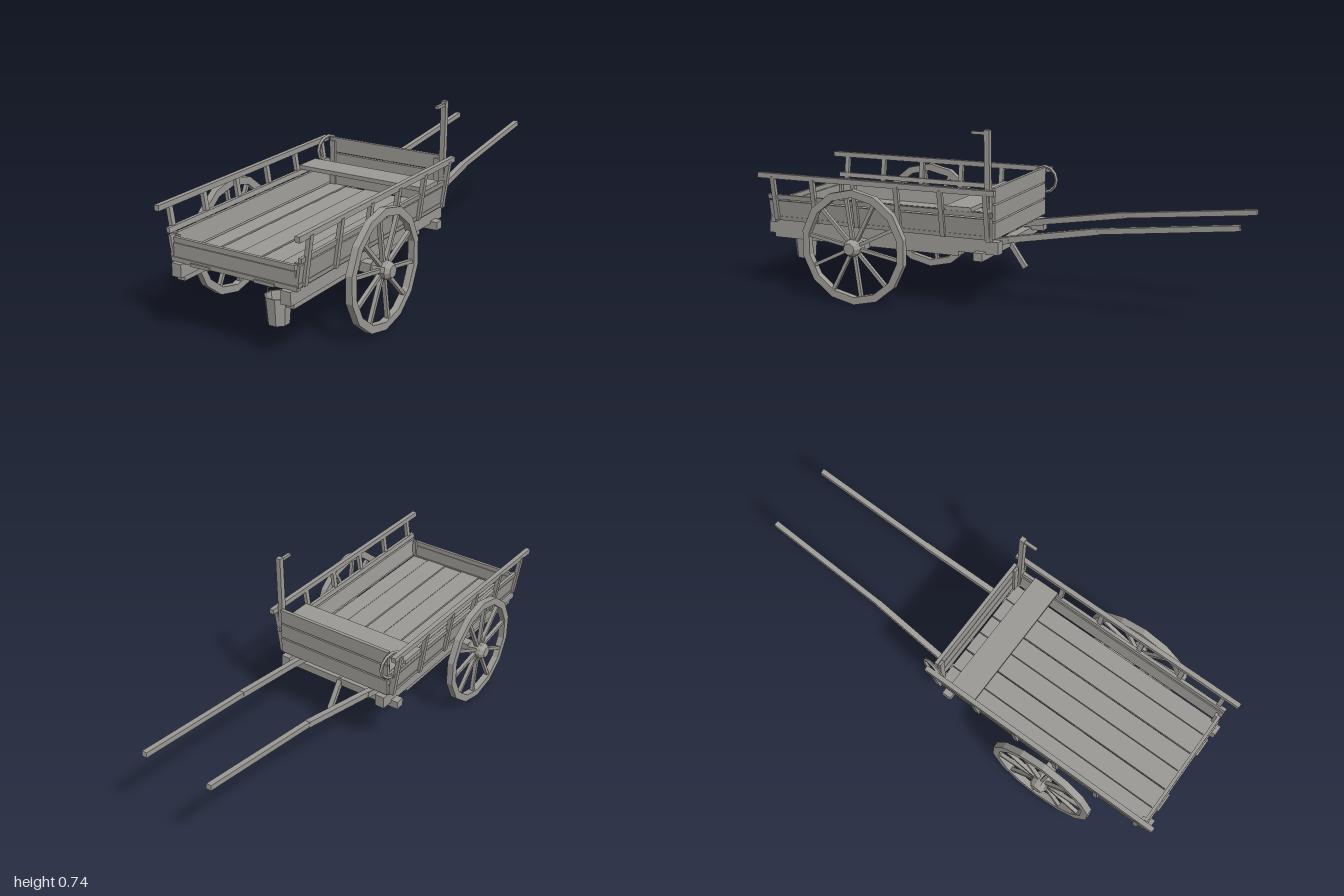
import * as THREE from 'three';

const wood = new THREE.MeshStandardMaterial({ color: 0x9c9a95, flatShading: true });
wood.name = 'weathered wood';

export function createModel() {
  const cart = new THREE.Group();
  cart.name = 'handCart';

  const add = (name, geometry, parent = cart) => {
    const mesh = new THREE.Mesh(geometry, wood);
    mesh.name = name;
    parent.add(mesh);
    return mesh;
  };
  // box given by its limits on each axis
  const box = (name, x0, x1, y0, y1, z0, z1, parent = cart) => {
    const mesh = add(name, new THREE.BoxGeometry(x1 - x0, y1 - y0, z1 - z0), parent);
    mesh.position.set((x0 + x1) / 2, (y0 + y1) / 2, (z0 + z1) / 2);
    return mesh;
  };
  // square bar between two points
  const bar = (name, a, b, w, h, parent = cart) => {
    const from = new THREE.Vector3(...a), to = new THREE.Vector3(...b);
    const mesh = add(name, new THREE.BoxGeometry(w, h, from.distanceTo(to)), parent);
    mesh.position.copy(from).add(to).multiplyScalar(0.5);
    mesh.lookAt(to);
    return mesh;
  };
  // outward-leaning side plank, extruded along z
  const lean = (y) => 0.267 + (y - 0.3) * 0.15;
  const sidePlank = (name, s, y0, y1, z0, z1, offset, thick) => {
    const shape = new THREE.Shape([
      [lean(y0) + offset, y0], [lean(y0) + offset + thick, y0],
      [lean(y1) + offset + thick, y1], [lean(y1) + offset, y1],
    ].map(([x, y]) => new THREE.Vector2(s * x, y)));
    const mesh = add(name, new THREE.ExtrudeGeometry(shape, { depth: z1 - z0, bevelEnabled: false }));
    mesh.position.z = z0;
  };

  // floor planks
  const seams = [-0.265, -0.185, -0.094, 0, 0.089, 0.185, 0.265];
  for (let i = 0; i < 6; i++) {
    const dy = i % 2 ? 0 : 0.003;
    box('floorPlank', seams[i] + 0.002, seams[i + 1] - 0.002, 0.292 + dy, 0.307 + dy, -0.045, 0.965);
  }

  // undercarriage
  box('frontSill', -0.275, 0.275, 0.294, 0.312, 0.945, 0.968);
  box('rearCrossbar', -0.29, 0.29, 0.22, 0.254, -0.02, 0.02);
  box('axle', -0.305, 0.305, 0.22, 0.258, 0.503, 0.547);
  for (const s of [-1, 1]) {
    const [a, b] = s > 0 ? [0.218, 0.26] : [-0.26, -0.218];
    box('chassisRail', a, b, 0.244, 0.296, -0.075, 0.985);
    box('chassisPlate', a + 0.004, b - 0.004, 0.225, 0.3, 0.1, 0.962);
  }
  bar('propLeg', [0, 0.25, -0.005], [0, 0.135, -0.085], 0.022, 0.018);

  // pull shafts
  for (const s of [-1, 1]) {
    bar('shaftRoot', [s * 0.19, 0.267, 0.06], [s * 0.184, 0.292, -0.09], 0.026, 0.026);
    bar('shaftMiddle', [s * 0.184, 0.291, -0.07], [s * 0.163, 0.355, -0.45], 0.024, 0.025);
    bar('shaftGrip', [s * 0.163, 0.354, -0.44], [s * 0.153, 0.415, -0.998], 0.022, 0.022);
  }

  // sides with posts and top rail
  for (const s of [-1, 1]) {
    sidePlank('sideBoardLower', s, 0.305, 0.322, -0.05, 0.965, 0, 0.01);
    sidePlank('sideBoard', s, 0.316, 0.39, -0.05, 0.965, -0.005, 0.012);
    sidePlank('sideStrip', s, 0.397, 0.417, -0.06, 0.965, -0.004, 0.014);
    for (const z of [-0.04, 0.155, 0.35, 0.545, 0.74, 0.93]) {
      sidePlank('sidePost', s, 0.305, 0.495, z - 0.01, z + 0.01, 0.002, 0.017);
    }
    const x = s * 0.303;
    box('topRail', x - 0.01, x + 0.01, 0.487, 0.509, -0.08, 1.0);
  }

  // rear wall
  [[0.308, 0.374], [0.38, 0.444], [0.45, 0.512]].forEach(([y0, y1]) =>
    box('rearPlank', -0.268, 0.266, y0, y1, -0.065, -0.05));
  for (const x of [-0.25, 0.25]) box('rearCleat', x - 0.012, x + 0.012, 0.308, 0.5, -0.05, -0.04);

  // front tailboard
  box('tailboard', -0.265, 0.265, 0.312, 0.364, 0.95, 0.963);
  box('tailboardTop', -0.263, 0.263, 0.366, 0.386, 0.95, 0.963);
  for (const x of [-0.26, 0.26]) box('tailboardCleat', x - 0.008, x + 0.008, 0.312, 0.39, 0.938, 0.95);
  for (const x of [-0.14, 0.14]) box('tailboardHinge', x - 0.042, x + 0.042, 0.293, 0.305, 0.962, 0.975);

  // seat plank
  box('seat', -0.293, 0.293, 0.416, 0.433, 0.025, 0.14);

  // lantern post with peg
  bar('lanternPost', [0.275, 0.3, -0.041], [0.283, 0.742, -0.041], 0.022, 0.022);
  box('lanternPeg', 0.277, 0.29, 0.722, 0.734, -0.035, 0.025);

  // rope loop round the rear corner
  const loop = [];
  for (let i = 0; i < 8; i++) {
    const a = (i / 8) * Math.PI * 2;
    loop.push(new THREE.Vector3(-0.282 + 0.012 * Math.cos(a), 0.457 + 0.055 * Math.sin(a), -0.058 - 0.056 * Math.cos(a)));
  }
  add('ropeLoop', new THREE.TubeGeometry(new THREE.CatmullRomCurve3(loop, true), 12, 0.008, 5, true));

  // bucket hanging under the front
  const bucket = new THREE.Group();
  bucket.name = 'bucket';
  bucket.position.set(0.135, 0, 0.888);
  cart.add(bucket);
  const profile = [[0, 0.12], [0.041, 0.12], [0.05, 0.225], [0.044, 0.225], [0.036, 0.13], [0, 0.13]];
  add('bucketBody', new THREE.LatheGeometry(profile.map((p) => new THREE.Vector2(...p)), 8, Math.PI / 8), bucket);
  add('bucketHandle', new THREE.TorusGeometry(0.046, 0.003, 4, 8, Math.PI), bucket).position.y = 0.223;
  box('bucketHook', -0.003, 0.003, 0.262, 0.295, -0.003, 0.003, bucket);

  // wheels: polygonal rim, spokes and barrel hub
  const ring = (r) => Array.from({ length: 14 }, (_, i) => {
    const a = Math.PI / 2 + (i / 14) * Math.PI * 2;
    return new THREE.Vector2(r * Math.cos(a), r * Math.sin(a));
  });
  const rimShape = new THREE.Shape(ring(0.238));
  rimShape.holes.push(new THREE.Path(ring(0.207)));
  const rim = new THREE.ExtrudeGeometry(rimShape, { depth: 0.028, bevelEnabled: false });
  rim.translate(0, 0, -0.014).rotateY(Math.PI / 2);
  const hubProfile = [[0, -0.042], [0.024, -0.042], [0.036, -0.024], [0.036, 0.024], [0.024, 0.042], [0, 0.042]];
  const hub = new THREE.LatheGeometry(hubProfile.map((p) => new THREE.Vector2(...p)), 10);
  hub.rotateZ(Math.PI / 2);
  for (const s of [-1, 1]) {
    const wheel = new THREE.Group();
    wheel.name = s > 0 ? 'leftWheel' : 'rightWheel';
    wheel.position.set(s * 0.345, 0.239, 0.525);
    cart.add(wheel);
    add('rim', rim, wheel);
    add('hub', hub, wheel);
    for (let i = 0; i < 10; i++) {
      const spoke = new THREE.BoxGeometry(0.016, 0.19, 0.014);
      spoke.translate(0, 0.12, 0).rotateX(0.14 + (i / 10) * Math.PI * 2);
      add('spoke', spoke, wheel);
    }
  }
  return cart;
}
